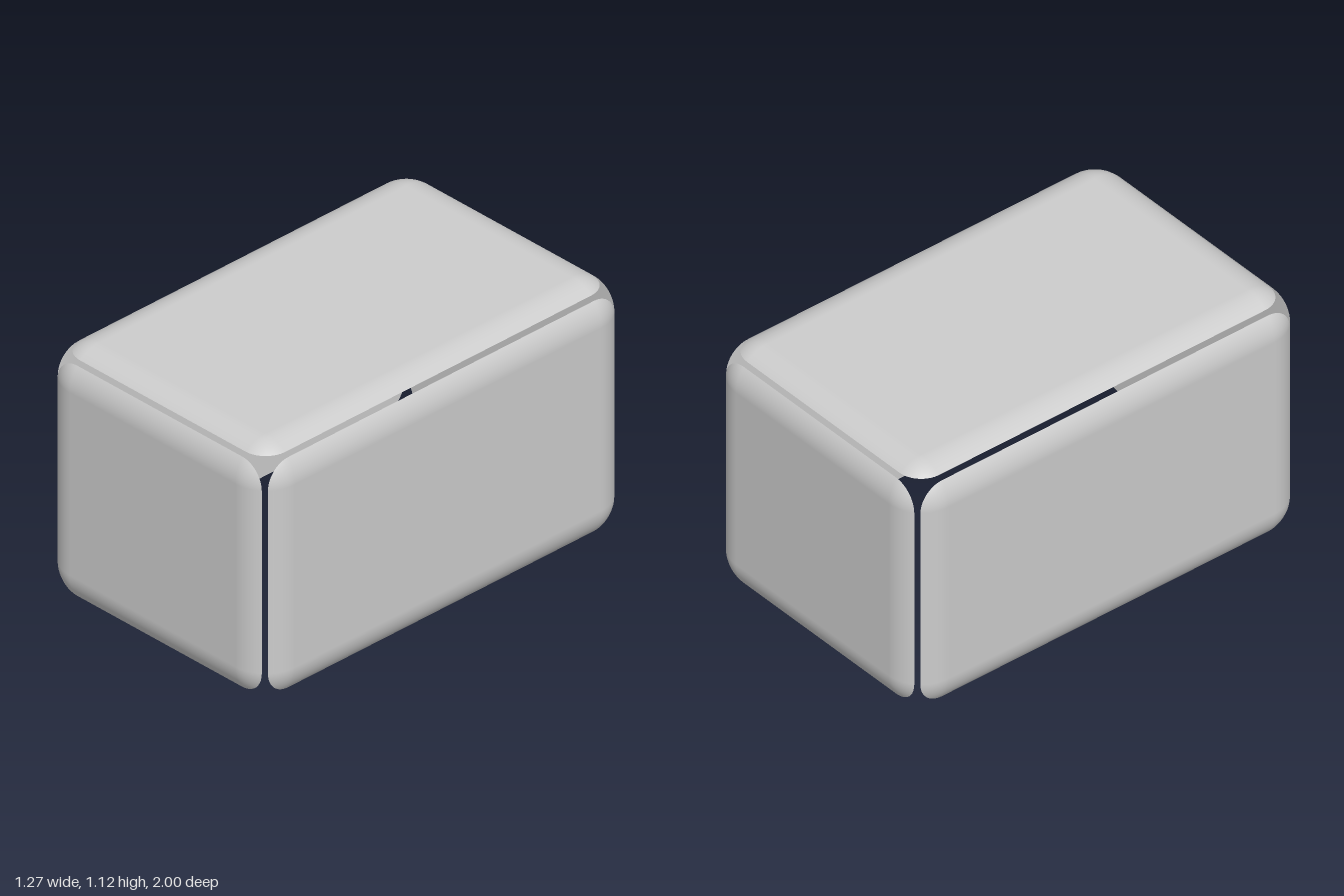
import * as THREE from 'three';

const DEPTH = 0.039, CORNER = 0.11;

// Slab with rounded corners, flat back at z = 0 and softly rounded front rim
function slabGeometry(width, height, runX = CORNER) {
  const R = (CORNER * CORNER + DEPTH * DEPTH) / (2 * DEPTH); // rim arc radius
  const maxAngle = Math.asin(CORNER / R);
  const RINGS = 10, STEPS = 10;
  const pos = [], nor = [], idx = [];
  const N = 4 * (STEPS + 1);
  const ring = (r, z, phi) => {
    const k = r / CORNER;
    for (let q = 0; q < 4; q++) {
      const sx = q === 0 || q === 3 ? 1 : -1, sy = q < 2 ? 1 : -1;
      for (let s = 0; s <= STEPS; s++) {
        const a = (q + s / STEPS) * Math.PI / 2;
        pos.push(sx * (width / 2 - runX) + Math.cos(a) * runX * k,
          sy * (height / 2 - CORNER) + Math.sin(a) * CORNER * k, z);
        const n = new THREE.Vector3(Math.cos(a) * Math.sin(phi) * CORNER / runX,
          Math.sin(a) * Math.sin(phi), Math.cos(phi)).normalize();
        nor.push(n.x, n.y, n.z);
      }
    }
  };
  // Rounded rim, from the back edge to the flat face
  for (let i = 0; i <= RINGS; i++) {
    const phi = maxAngle * (1 - i / RINGS);
    ring(R * Math.sin(phi), DEPTH - R * (1 - Math.cos(phi)), phi);
    if (i === 0) continue;
    for (let j = 0; j < N; j++) {
      const a = (i - 1) * N + j, b = (i - 1) * N + (j + 1) % N;
      idx.push(a, b, b + N, a, b + N, a + N);
    }
  }
  // Flat outer face
  const face = RINGS * N;
  for (let j = 1; j < N - 1; j++) idx.push(face, face + j, face + j + 1);
  // Flat back
  const back = pos.length / 3;
  ring(CORNER, 0, Math.PI);
  for (let j = 0; j < N; j++) nor.splice((back + j) * 3, 3, 0, 0, -1);
  for (let j = 1; j < N - 1; j++) idx.push(back, back + j + 1, back + j);

  const g = new THREE.BufferGeometry();
  g.setAttribute('position', new THREE.Float32BufferAttribute(pos, 3));
  g.setAttribute('normal', new THREE.Float32BufferAttribute(nor, 3));
  g.setIndex(idx);
  return g;
}

export function createModel() {
  const group = new THREE.Group();
  const grey = new THREE.MeshStandardMaterial({ color: 0xcccccc });
  grey.name = 'light grey';

  const add = (name, geometry, position, rotation) => {
    const mesh = new THREE.Mesh(geometry, grey);
    mesh.name = name;
    mesh.position.set(...position);
    mesh.rotation.set(...rotation);
    group.add(mesh);
  };

  const H = 1.066, W = 1.156, L = 1.888;
  const end = slabGeometry(W, H), side = slabGeometry(L, H), top = slabGeometry(W, L);

  // End panels and side panels, with gaps between them and an open underside
  add('frontPanel', end, [0, H / 2, 0.961], [0, 0, 0]);
  add('backPanel', end, [0, H / 2, -0.961], [0, Math.PI, 0]);
  add('leftPanel', side, [0.595, H / 2, 0], [0, Math.PI / 2, 0]);
  add('rightPanel', side, [-0.595, H / 2, 0], [0, -Math.PI / 2, 0]);
  add('topPanel', top, [0, 1.082, 0], [-Math.PI / 2, 0, 0]);
  return group;
}
